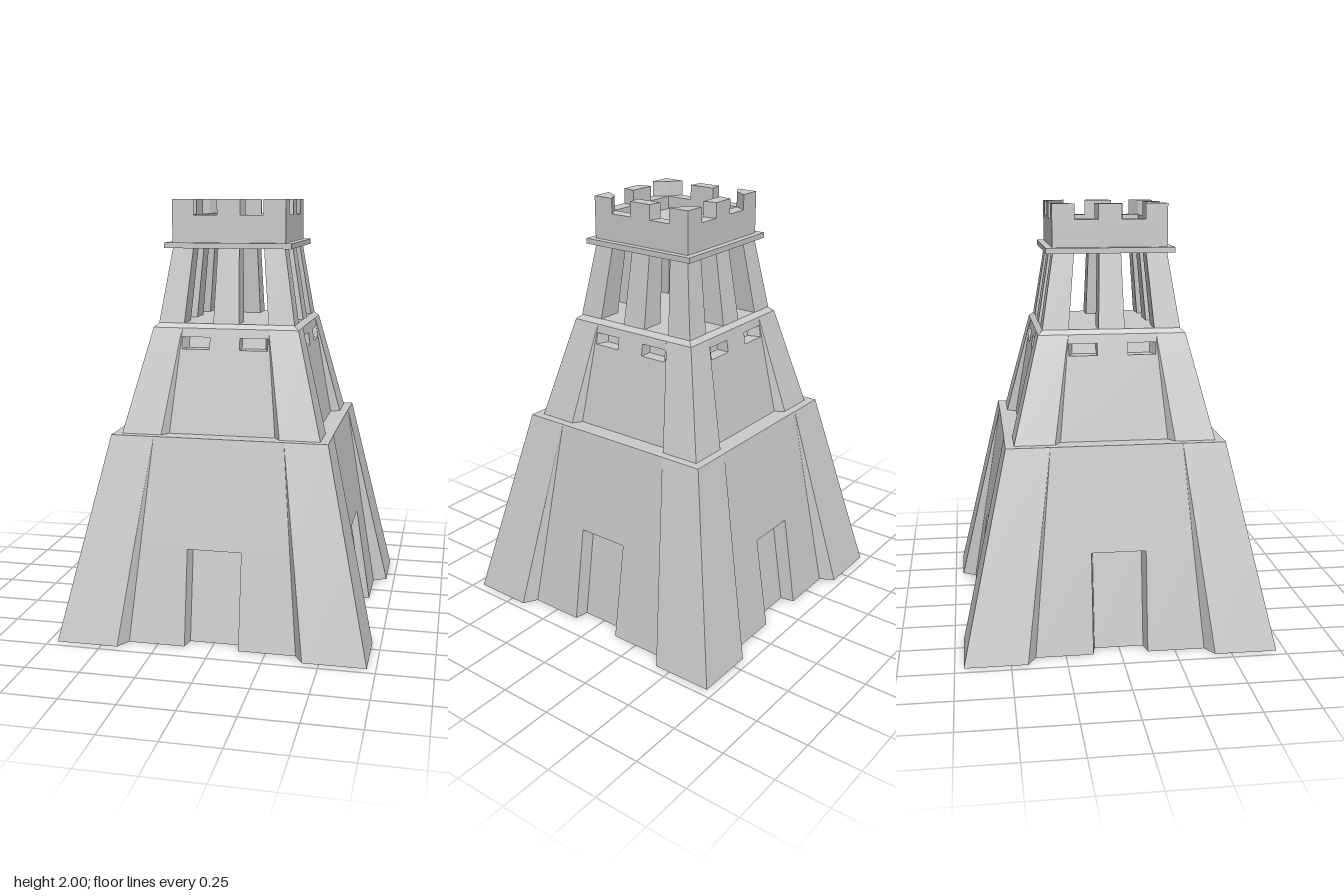
import * as THREE from 'three';

const material = new THREE.MeshStandardMaterial({ color: 0xcccccc, flatShading: true });
const lerp = THREE.MathUtils.lerp;

// Solid between two matching [x, z] outlines, counter-clockwise seen from above
function loft(name, low, high, y0, y1) {
  const pos = [], n = low.length;
  const put = (p, y) => pos.push(p[0], y, p[1]);
  for (let i = 0; i < n; i++) {
    const j = (i + 1) % n;
    put(low[i], y0); put(low[j], y0); put(high[j], y1);
    put(low[i], y0); put(high[j], y1); put(high[i], y1);
  }
  for (const [pts, y, up] of [[low, y0, false], [high, y1, true]]) {
    const flat = pts.map(p => new THREE.Vector2(p[0], -p[1]));
    for (const [a, b, c] of THREE.ShapeUtils.triangulateShape(flat, [])) {
      const ccw = flat[b].clone().sub(flat[a]).cross(flat[c].clone().sub(flat[a])) > 0;
      const order = ccw === up ? [a, b, c] : [a, c, b];
      order.forEach(i => put(pts[i], y));
    }
  }
  const geometry = new THREE.BufferGeometry();
  geometry.setAttribute('position', new THREE.Float32BufferAttribute(pos, 3));
  geometry.computeVertexNormals();
  const mesh = new THREE.Mesh(geometry, material);
  mesh.name = name;
  return mesh;
}

const square = h => [[-h, h], [h, h], [h, -h], [-h, -h]];

// Four-sided outline with corner buttresses, recessed walls and optional niches
function outline(tier, y, nichesOfSide) {
  const t = (y - tier.y0) / (tier.y1 - tier.y0);
  const at = key => lerp(tier[key][0], tier[key][1], t);
  const a = at('corner'), b = at('buttress'), w = at('wallEdge'), d = at('wall');
  const points = [];
  for (let k = 0; k < 4; k++) {
    const side = [[-a, a], [-b, a], [-w, d]];
    for (const [u0, v0, v1, u1, depth] of nichesOfSide(k)) {
      side.push([u0, d], [v0, d - depth], [v1, d - depth], [u1, d]);
    }
    side.push([w, d], [b, a]);
    for (const [u, v] of side) points.push([[u, v], [v, -u], [-u, -v], [-v, u]][k]);
  }
  return points;
}

// Stacks sections of a tier; each section has its own niches
function buildTier(name, tier, sections) {
  const group = new THREE.Group();
  group.name = name;
  for (const [y0, y1, niches] of sections) {
    group.add(loft(name + 'Section', outline(tier, y0, niches), outline(tier, y1, niches), y0, y1));
  }
  return group;
}

// Adds four copies of a part, one for each side
function fourSides(parent, name, make) {
  const group = new THREE.Group();
  group.name = name;
  for (let k = 0; k < 4; k++) {
    const part = make();
    part.rotation.y = k * Math.PI / 2;
    group.add(part);
  }
  parent.add(group);
}

export function createModel() {
  const tower = new THREE.Group();
  tower.name = 'tower';
  const none = () => [];

  // Lower tier with a doorway niche on each side, slightly taller on left and right
  const door = [[-0.125, -0.113, 0.113, 0.125, 0.065]];
  const lower = {
    y0: 0, y1: 0.94, corner: [0.71, 0.5], buttress: [0.425, 0.302],
    wallEdge: [0.387, 0.3], wall: [0.645, 0.499],
  };
  tower.add(buildTier('lowerTier', lower, [
    [0, 0.44, () => door],
    [0.44, 0.46, k => (k % 2 ? door : [])],
    [0.46, 0.94, none],
  ]));

  // Middle tier with two window slots on each side
  const slots = [[-0.2, -0.18, -0.07, -0.07, 0.06], [0.07, 0.07, 0.18, 0.2, 0.06]];
  const middle = {
    y0: 0.94, y1: 1.42, corner: [0.46, 0.338], buttress: [0.275, 0.202],
    wallEdge: [0.247, 0.2], wall: [0.417, 0.337],
  };
  tower.add(buildTier('middleTier', middle, [
    [0.94, 1.325, none],
    [1.325, 1.38, () => slots],
    [1.38, 1.42, none],
  ]));
  tower.add(loft('slopedLedge', square(0.338), square(0.315), 1.42, 1.44));

  // Open gallery of leaning pillars
  const block = (x0, x1, z0, z1) => [[x0, z1], [x1, z1], [x1, z0], [x0, z0]];
  fourSides(tower, 'cornerPillars', () => loft('cornerPillar',
    block(0.197, 0.317, 0.197, 0.317), block(0.165, 0.262, 0.165, 0.262), 1.44, 1.78));
  fourSides(tower, 'middlePillars', () => loft('middlePillar',
    block(-0.06, 0.06, 0.2, 0.317), block(-0.05, 0.05, 0.167, 0.262), 1.44, 1.78));

  // Roof platform
  tower.add(loft('roofSlab', square(0.295), square(0.295), 1.78, 1.805));
  tower.add(loft('roofFloor', square(0.264), square(0.264), 1.805, 1.87));

  // Parapet and merlons
  const prism = (name, pts, y0, y1) => loft(name, pts, pts, y0, y1);
  fourSides(tower, 'parapet', () => prism('parapetWall',
    [[-0.264, 0.264], [0.264, 0.264], [0.2, 0.2], [-0.2, 0.2]], 1.87, 1.93));
  fourSides(tower, 'cornerMerlons', () => prism('cornerMerlon',
    [[0.162, 0.264], [0.264, 0.264], [0.264, 0.162], [0.2, 0.2]], 1.93, 2));
  fourSides(tower, 'middleMerlons', () => prism('middleMerlon',
    [[-0.054, 0.264], [0.054, 0.264], [0.065, 0.2], [-0.065, 0.2]], 1.93, 2));

  return tower;
}
